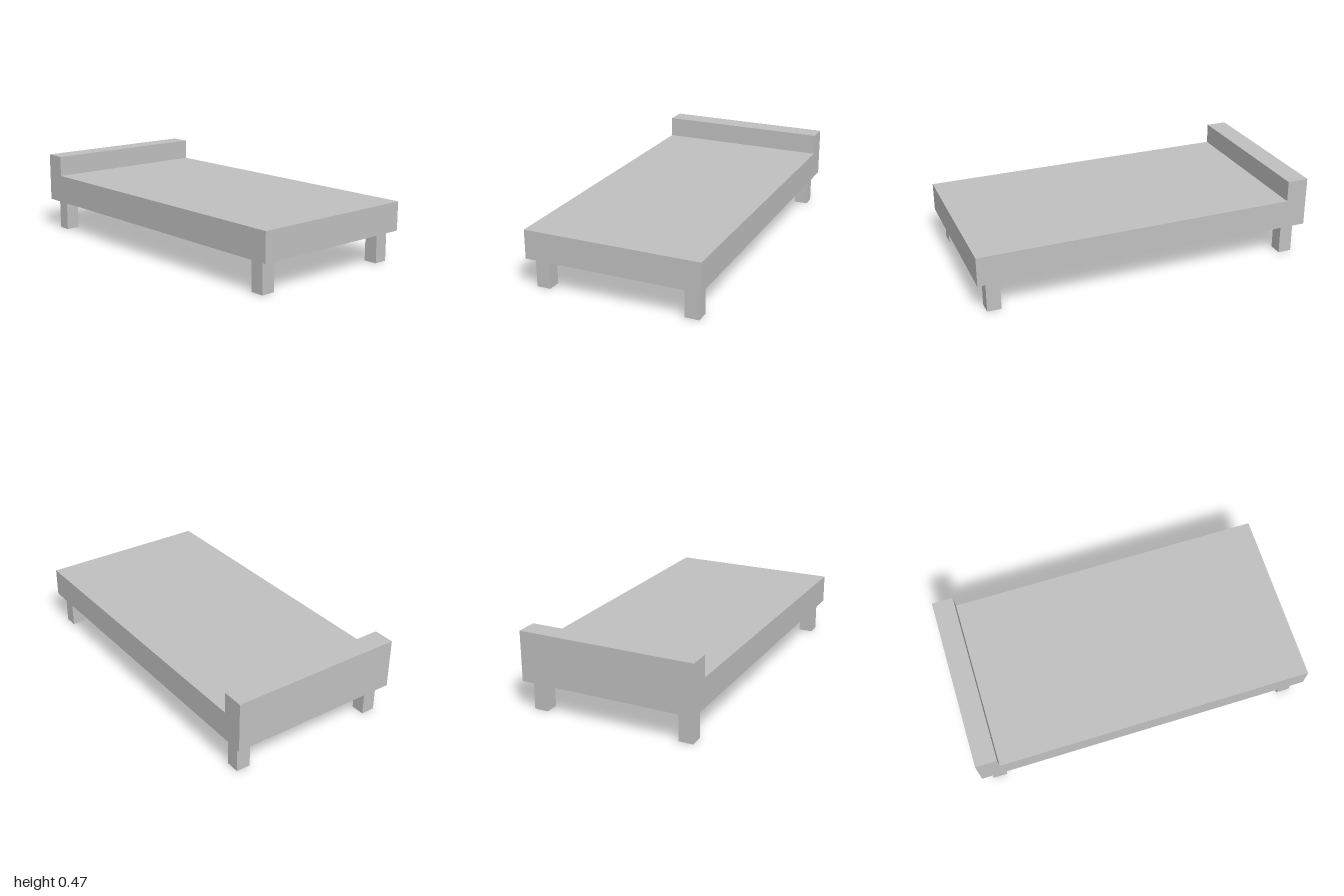
import * as THREE from 'three';

export function createModel() {
  const model = new THREE.Group();
  model.name = 'bed';
  const grey = new THREE.MeshStandardMaterial({ color: 0xc0c0c0 });
  grey.name = 'light grey';

  // Base and headboard: one L-shaped side profile (z, y) extruded across the width
  const width = 1.03;
  const profile = new THREE.Shape(
    [[-1, 0.182], [1, 0.182], [1, 0.351], [-0.874, 0.351], [-0.874, 0.474], [-1, 0.474]]
      .map(([z, y]) => new THREE.Vector2(z, y))
  );
  const frameGeometry = new THREE.ExtrudeGeometry(profile, { depth: width, bevelEnabled: false });
  frameGeometry.translate(0, 0, -width / 2).rotateY(-Math.PI / 2);
  const frame = new THREE.Mesh(frameGeometry, grey);
  frame.name = 'baseAndHeadboard';
  model.add(frame);

  // Four square legs
  const legGeometry = new THREE.BoxGeometry(0.083, 0.182, 0.081);
  for (const [end, z] of [['front', 0.909], ['back', -0.904]]) {
    for (const [side, x] of [['Left', 0.443], ['Right', -0.443]]) {
      const leg = new THREE.Mesh(legGeometry, grey);
      leg.name = `${end}${side}Leg`;
      leg.position.set(x, 0.091, z);
      model.add(leg);
    }
  }
  return model;
}
